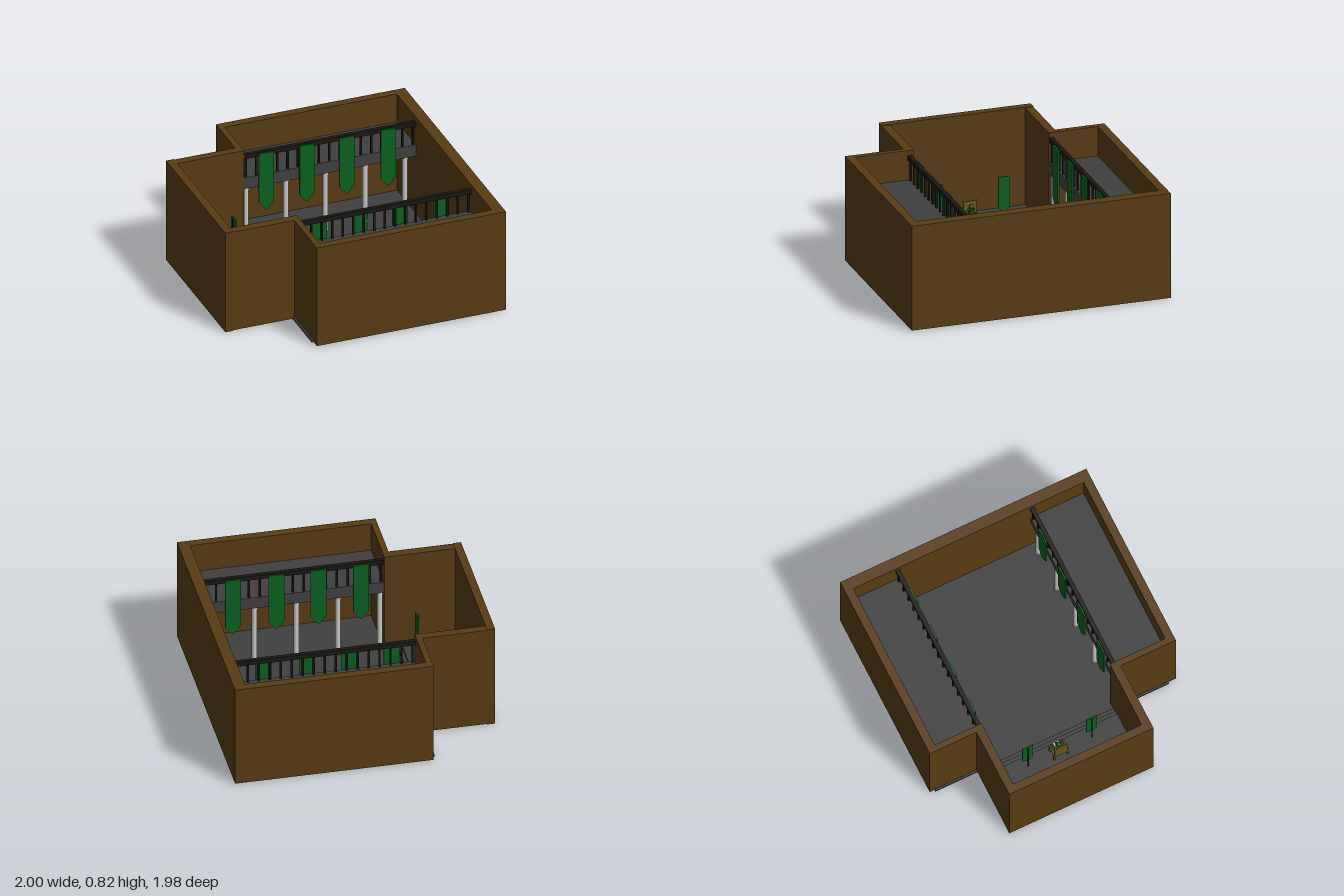
import * as THREE from 'three';

const mat = (color) => new THREE.MeshStandardMaterial({ color });
const M = {
  wall: mat(0x573c14), floor: mat(0x404040), pillar: mat(0xcccccc), rail: mat(0x1a1712),
  cloth: mat(0x0a6020), gold: mat(0x6a5a1c), robe: mat(0x1c4a1c), pale: mat(0xcccccc),
};
const AXIS = -0.028; // centre line of the hall in z

function add(parent, name, geometry, material, x = 0, y = 0, z = 0) {
  const mesh = new THREE.Mesh(geometry, material);
  mesh.name = name;
  mesh.position.set(x, y, z);
  parent.add(mesh);
  return mesh;
}

// Box given by its limits on each axis
function block(parent, name, material, x0, x1, y0, y1, z0, z1) {
  return add(parent, name, new THREE.BoxGeometry(x1 - x0, y1 - y0, z1 - z0), material,
    (x0 + x1) / 2, (y0 + y1) / 2, (z0 + z1) / 2);
}

// Plan points are (x, z); flipped so the extrusion stands up along y
const plan = (pts) => pts.map(([x, z]) => new THREE.Vector2(x, -z));

// Hanging cloth with a pointed lower end, centred on x, facing +z
function bannerGeometry(width, top, corner, tip, depth) {
  const w = width / 2;
  const s = new THREE.Shape([[-w, top], [-w, corner], [0, tip], [w, corner], [w, top]]
    .map(([x, y]) => new THREE.Vector2(x, y)));
  return new THREE.ExtrudeGeometry(s, { depth, bevelEnabled: false }).translate(0, 0, -depth / 2);
}

function buildWalls() {
  const g = new THREE.Group();
  g.name = 'walls';
  const outer = new THREE.Shape(plan([[-1, -0.612], [-0.465, -0.612], [-0.465, -0.988], [1, -0.988],
    [1, 0.988], [-0.465, 0.988], [-0.465, 0.546], [-1, 0.546]]));
  // The hole runs the other way round, so the inner faces look into the hall
  outer.holes.push(new THREE.Path(plan([[-0.94, 0.48], [-0.42, 0.48], [-0.42, 0.925], [0.915, 0.925],
    [0.915, -0.925], [-0.42, -0.925], [-0.42, -0.55], [-0.94, -0.55]])));
  const geo = new THREE.ExtrudeGeometry(outer, { depth: 0.808, bevelEnabled: false });
  geo.rotateX(-Math.PI / 2);
  add(g, 'outerWall', geo, M.wall, 0, 0.005, 0);
  block(g, 'alcoveEndWall', M.wall, -1, -0.94, 0, 0.818, -0.612, 0.546);
  return g;
}

function buildFloor() {
  const g = new THREE.Group();
  g.name = 'floors';
  block(g, 'hallFloor', M.floor, -0.48, 0.92, 0.004, 0.02, -0.95, 0.925);
  // Dais with three shallow steps
  [-0.48, -0.51, -0.54].forEach((x, i) =>
    block(g, 'daisStep', M.floor, -0.945, x, 0.004, 0.035 + i * 0.015, -0.555, 0.485));
  return g;
}

// Gallery on one side of the hall; side is +1 or -1 in z
function buildGallery(side) {
  const g = new THREE.Group();
  g.name = side > 0 ? 'frontGallery' : 'backGallery';
  const at = (d) => AXIS + side * d;
  const wallZ = side * 0.94;
  block(g, 'gallerySlab', M.floor, -0.425, 0.93, 0.493, 0.585,
    Math.min(at(0.525), wallZ), Math.max(at(0.525), wallZ));

  block(g, 'handrail', M.rail, -0.42, 0.915, 0.74, 0.775, at(0.54) - 0.016, at(0.54) + 0.016);
  for (let i = 0; i < 17; i++) {
    add(g, 'baluster', new THREE.BoxGeometry(0.014, 0.16, 0.014), M.rail,
      -0.4 + i * 0.081, 0.662, at(0.54));
  }

  // Columns with base and capital
  for (let i = 0; i < 5; i++) {
    const x = -0.395 + i * 0.308;
    add(g, 'column', new THREE.CylinderGeometry(0.02, 0.02, 0.475, 16), M.pillar, x, 0.257, at(0.55));
    for (const y of [0.028, 0.485]) {
      add(g, 'columnCollar', new THREE.CylinderGeometry(0.024, 0.024, 0.016, 16), M.pillar, x, y, at(0.55));
    }
  }

  const cloth = bannerGeometry(0.115, 0.765, 0.365, 0.295, 0.012);
  for (const x of [-0.25, 0.065, 0.375, 0.695]) add(g, 'galleryBanner', cloth, M.cloth, x, 0, at(0.517));
  return g;
}

// Free-standing banner on a thin pole beside the throne
function buildStandard(z) {
  const g = new THREE.Group();
  g.name = 'standingBanner';
  add(g, 'pole', new THREE.CylinderGeometry(0.005, 0.005, 0.38, 8), M.rail, -0.617, 0.25, z);
  const cloth = add(g, 'cloth', bannerGeometry(0.085, 0.44, 0.2, 0.16, 0.01), M.cloth, -0.608, 0, z);
  cloth.rotation.y = Math.PI / 2;
  return g;
}

// Throne with a seated figure, facing +x
function buildThrone() {
  const g = new THREE.Group();
  g.name = 'throne';
  block(g, 'seat', M.gold, -0.05, 0.025, 0.05, 0.065, -0.05, 0.05);
  block(g, 'backrest', M.gold, -0.055, -0.043, 0.065, 0.2, -0.05, 0.05);
  for (const s of [-1, 1]) {
    block(g, 'armrest', M.gold, -0.05, 0.035, 0.095, 0.105, s * 0.054 - 0.006, s * 0.054 + 0.006);
    for (const x of [-0.048, 0.024]) {
      block(g, 'throneLeg', M.gold, x - 0.006, x + 0.006, 0, 0.1, s * 0.054 - 0.006, s * 0.054 + 0.006);
    }
    add(g, 'backPostKnob', new THREE.SphereGeometry(0.009, 10, 8), M.gold, -0.049, 0.207, s * 0.045);
    // Limbs of the figure
    block(g, 'thigh', M.pale, -0.02, 0.045, 0.066, 0.082, s * 0.014 - 0.008, s * 0.014 + 0.008);
    block(g, 'shin', M.pale, 0.033, 0.046, 0.005, 0.07, s * 0.014 - 0.007, s * 0.014 + 0.007);
    block(g, 'foot', M.rail, 0.033, 0.06, 0, 0.01, s * 0.014 - 0.008, s * 0.014 + 0.008);
    block(g, 'arm', M.robe, -0.02, 0.03, 0.106, 0.117, s * 0.038 - 0.006, s * 0.038 + 0.006);
  }
  add(g, 'torso', new THREE.CylinderGeometry(0.028, 0.018, 0.08, 10), M.robe, -0.015, 0.11, 0);
  add(g, 'head', new THREE.SphereGeometry(0.018, 12, 10), M.robe, -0.012, 0.168, 0);
  g.position.set(-0.608, 0.065, AXIS);
  return g;
}

export function createModel() {
  const model = new THREE.Group();
  model.name = 'throneHall';
  model.add(buildWalls(), buildFloor(), buildGallery(1), buildGallery(-1),
    buildStandard(0.24), buildStandard(-0.272), buildThrone());
  return model;
}
